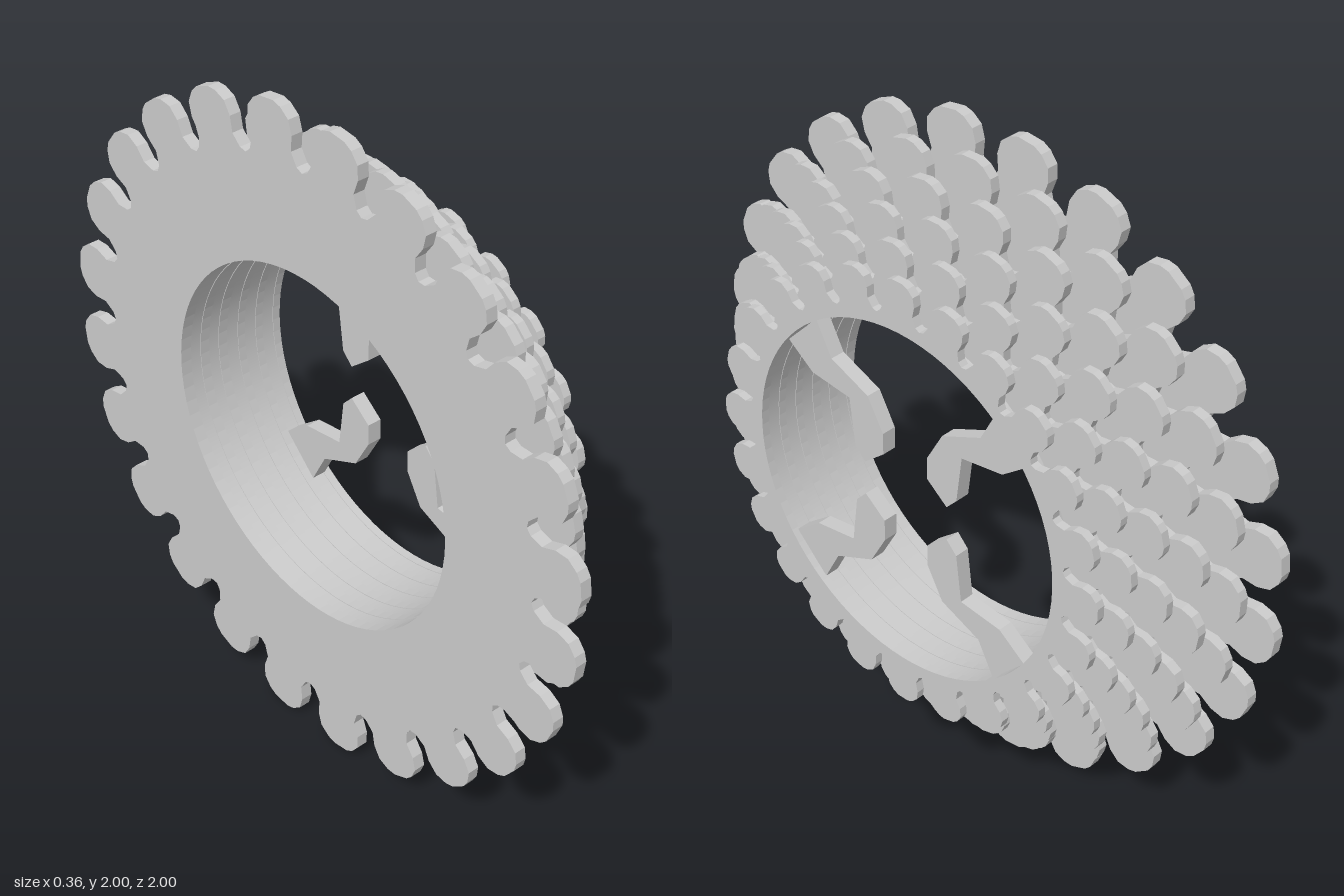
import * as THREE from 'three';

const material = new THREE.MeshStandardMaterial({ color: 0xcccccc, flatShading: true });
const smooth = new THREE.MeshStandardMaterial({ color: 0xcccccc, side: THREE.DoubleSide });
const TEETH = 24, BORE = 0.535;

// One side of a tooth: [radius ratio, fraction of half the tooth pitch]
const FLANK = [[0.835, 1], [0.845, 0.82], [0.88, 0.65], [0.925, 0.7], [0.965, 0.62], [0.99, 0.4], [1, 0.2]];

// Extrude a shape so that its depth runs along x, from x0 to x1
function plate(name, shape, x0, x1) {
  const geometry = new THREE.ExtrudeGeometry(shape, { depth: x1 - x0, bevelEnabled: false, curveSegments: 40 });
  geometry.rotateY(Math.PI / 2).translate(x0, 0, 0);
  const mesh = new THREE.Mesh(geometry, material);
  mesh.name = name;
  return mesh;
}

// Ring with rounded leaf-like teeth, the first one centred at the offset angle
function gearShape(radius, offset) {
  const half = Math.PI / TEETH, points = [];
  const add = (centre, [r, a], side) => {
    const angle = centre + side * a * half;
    points.push(new THREE.Vector2(Math.cos(angle) * r * radius, Math.sin(angle) * r * radius));
  };
  for (let i = 0; i < TEETH; i++) {
    const centre = offset + i * 2 * half;
    FLANK.forEach(p => add(centre, p, -1));
    // the last valley point belongs to the next tooth
    FLANK.slice(1).reverse().forEach(p => add(centre, p, 1));
  }
  const shape = new THREE.Shape(points);
  shape.holes.push(new THREE.Path().absarc(0, 0, BORE, 0, Math.PI * 2, true));
  return shape;
}

export function createModel() {
  const model = new THREE.Group();
  const stack = new THREE.Group();
  stack.name = 'gearStack';
  stack.position.y = 1;
  model.add(stack);

  // Six toothed rings, shrinking towards +x, alternate ones turned by half a tooth
  const gears = [
    [1.005, -0.18, -0.145], [0.93, -0.11, -0.08], [0.862, -0.045, -0.015],
    [0.8, 0.025, 0.05], [0.74, 0.09, 0.115], [0.685, 0.155, 0.18],
  ];
  gears.forEach(([radius, x0, x1], i) => {
    const offset = i % 2 === 0 ? Math.PI / TEETH : 0;
    stack.add(plate('toothedRing' + (i + 1), gearShape(radius, offset), x0, x1));
  });

  // Thin sleeve joining the rings
  const sleeve = new THREE.Mesh(new THREE.CylinderGeometry(0.537, 0.537, 0.35, 80, 1, true), smooth);
  sleeve.geometry.rotateZ(Math.PI / 2);
  sleeve.name = 'sleeve';
  stack.add(sleeve);

  // Four bent hooks reaching inwards, mirrored in both directions
  const hook = [
    [0.43, 0.32], [0.32, 0.43], [0.267, 0.33], [0.134, 0.272], [0.08, 0.176],
    [0.08, 0.11], [0.15, 0.053], [0.185, 0.09], [0.203, 0.235], [0.342, 0.253],
  ];
  for (const sy of [1, -1]) {
    for (const sz of [1, -1]) {
      const shape = new THREE.Shape(hook.map(([z, y]) => new THREE.Vector2(sz * z, sy * y)));
      const name = (sy > 0 ? 'upper' : 'lower') + (sz > 0 ? 'Back' : 'Front') + 'Hook';
      stack.add(plate(name, shape, 0.115, 0.16));
    }
  }
  return model;
}
